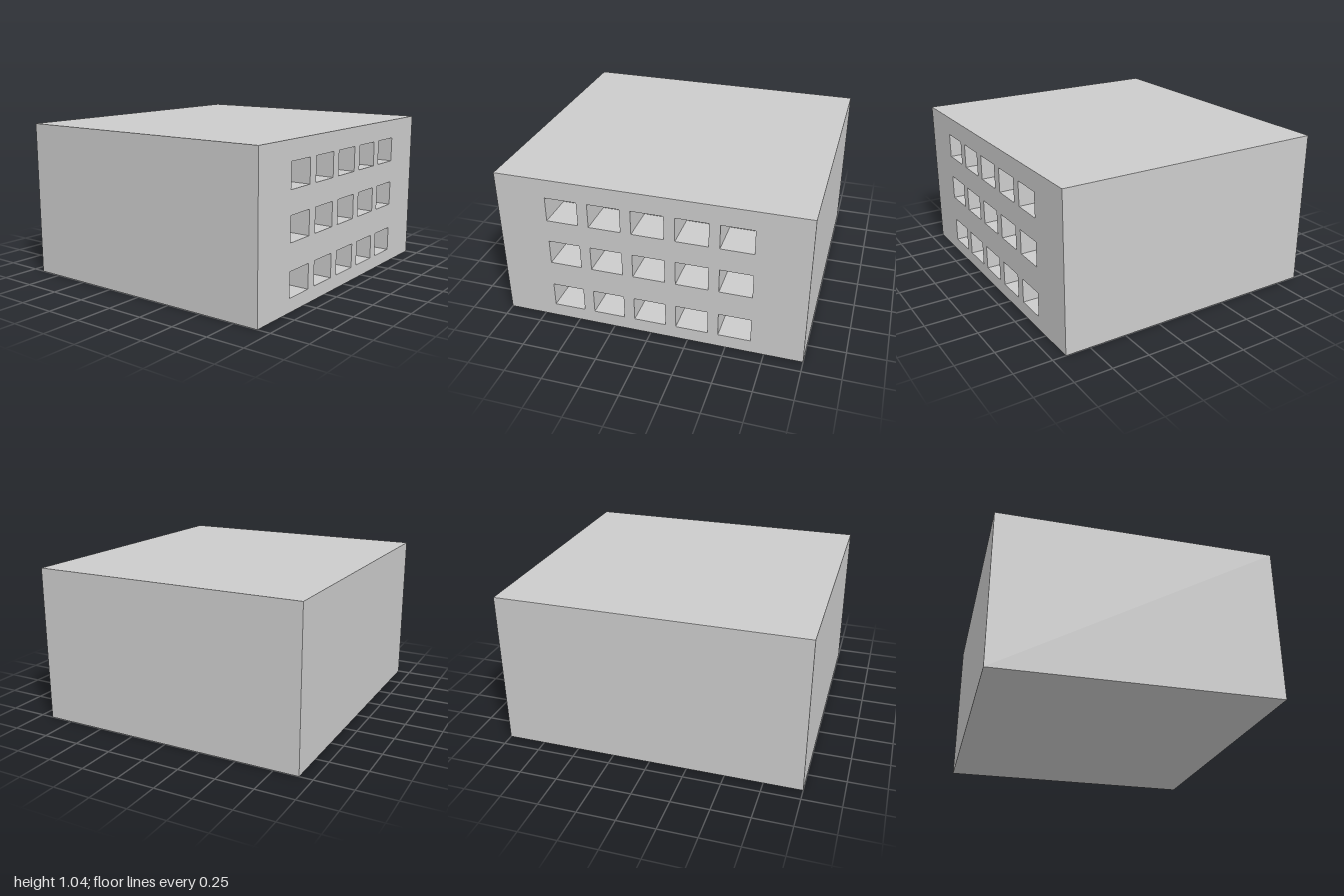
import * as THREE from 'three';

const W = 1.826, H = 1.037, D = 2;           // block size
const WIN_Z = 0.21, WIN_Y = 0.164, RECESS = 0.25;
const COLUMNS = [0.563, 0.283, 0.003, -0.277, -0.556];
const ROWS = [0.172, 0.51, 0.827];

// Box without its +x face; inverted, it becomes the inside of a pocket
function openBox(w, h, d, inverted = false) {
  const g = new THREE.BoxGeometry(w, h, d);
  const index = Array.from(g.index.array).slice(6);
  g.clearGroups();
  g.setIndex(inverted ? index.reverse() : index);
  g.computeVertexNormals();
  return g;
}

function rectangle(target, x, y, w, h) {
  target.moveTo(x - w / 2, y - h / 2);
  target.lineTo(x + w / 2, y - h / 2);
  target.lineTo(x + w / 2, y + h / 2);
  target.lineTo(x - w / 2, y + h / 2);
  target.closePath();
  return target;
}

export function createModel() {
  const group = new THREE.Group();
  group.name = 'building';
  const material = new THREE.MeshStandardMaterial({ color: 0xcccccc, flatShading: true });
  const add = (name, geometry, x, y, z) => {
    const mesh = new THREE.Mesh(geometry, material);
    mesh.name = name;
    mesh.position.set(x, y, z);
    group.add(mesh);
  };

  // Plain walls, roof and base
  add('body', openBox(W, H, D), 0, H / 2, 0);

  // Window wall with openings, and a recess behind each one
  const wall = rectangle(new THREE.Shape(), 0, H / 2, D, H);
  const pocket = openBox(RECESS, WIN_Y, WIN_Z, true);
  for (const y of ROWS) {
    for (const z of COLUMNS) {
      wall.holes.push(rectangle(new THREE.Path(), -z, y, WIN_Z, WIN_Y));
      add('windowRecess', pocket, W / 2 - RECESS / 2, y, z);
    }
  }
  add('windowWall', new THREE.ShapeGeometry(wall).rotateY(Math.PI / 2), W / 2, 0, 0);

  return group;
}
